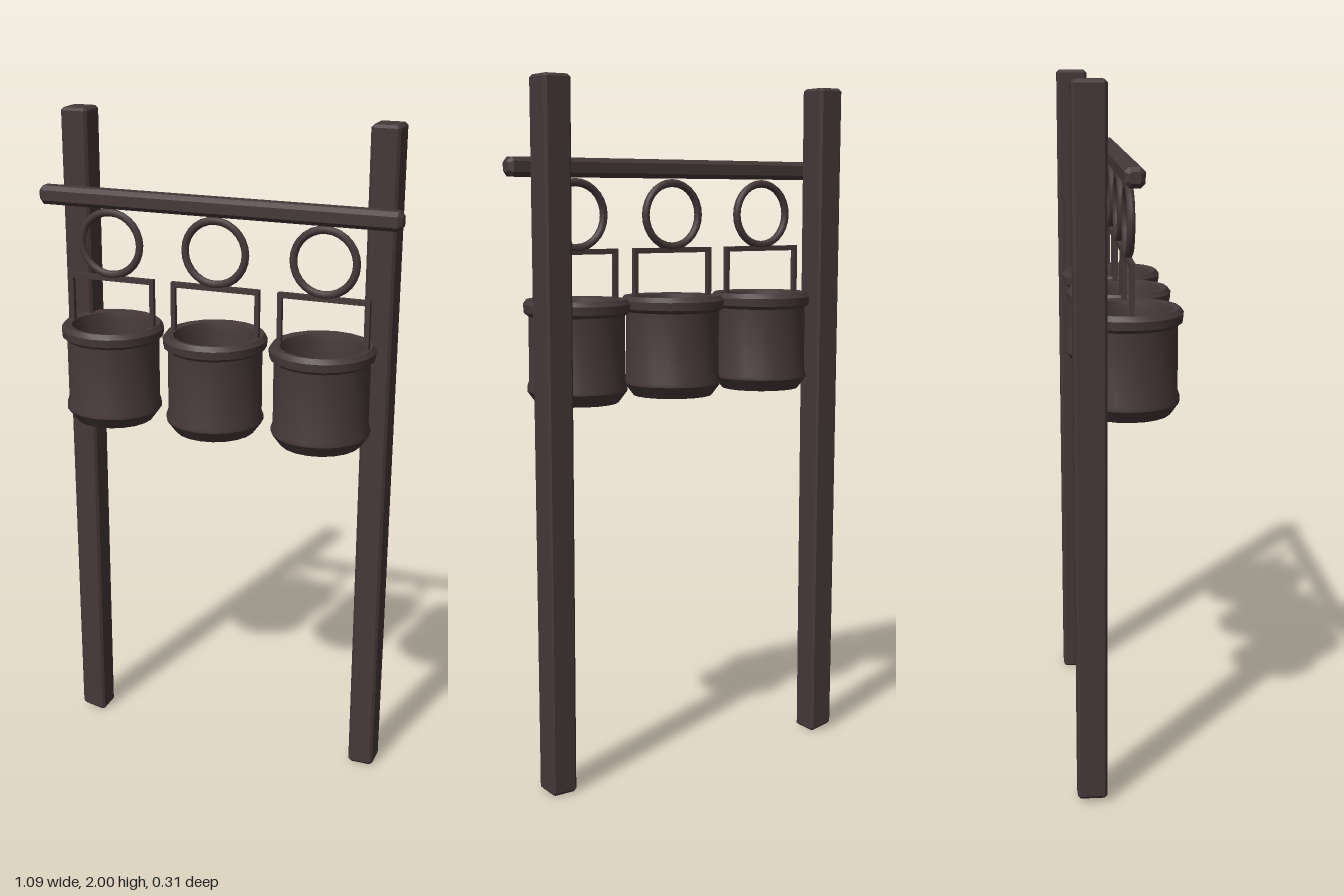
import * as THREE from 'three';
import { toCreasedNormals } from 'three/addons/utils/BufferGeometryUtils.js';

const wood = new THREE.MeshStandardMaterial({ color: 0x463839 });
wood.name = 'dark brown';

function add(parent, name, geometry, x = 0, y = 0, z = 0) {
  const mesh = new THREE.Mesh(geometry, wood);
  mesh.name = name;
  mesh.position.set(x, y, z);
  parent.add(mesh);
  return mesh;
}

// Square bar along z, centred, with chamfered edges and ends
function bar(w, h, length, c) {
  const a = w / 2 - c, b = h / 2 - c;
  const shape = new THREE.Shape([
    [a, -b - c], [a + c, -b], [a + c, b], [a, b + c],
    [-a, b + c], [-a - c, b], [-a - c, -b], [-a, -b - c],
  ].map(([x, y]) => new THREE.Vector2(x, y)));
  const geometry = new THREE.ExtrudeGeometry(shape, {
    depth: length - 2 * c, bevelEnabled: true, bevelThickness: c,
    bevelSize: c, bevelOffset: -c, bevelSegments: 1,
  });
  return geometry.translate(0, 0, c - length / 2);
}

// Upright post, slightly uneven towards its foot
function post(side) {
  const geometry = bar(0.083, 0.092, 2, 0.008).rotateX(-Math.PI / 2).translate(0, 1, 0);
  const p = geometry.attributes.position;
  for (let i = 0; i < p.count; i++) {
    const foot = 1 - p.getY(i) / 2;
    p.setX(i, p.getX(i) * (1 - 0.06 * foot));
    p.setZ(i, p.getZ(i) * (1 - 0.1 * foot));
    if (side < 0 && p.getY(i) < 0.1) p.setY(i, p.getY(i) + 0.008 - p.getX(i) * 0.2);
  }
  geometry.computeVertexNormals();
  return geometry;
}

// Hollow pot: chamfered base, straight wall, flared rim, inner wall and floor
function pot() {
  const profile = [
    [0, 1.097], [0.118, 1.097], [0.144, 1.132], [0.144, 1.142], [0.138, 1.16],
    [0.138, 1.345], [0.151, 1.355], [0.153, 1.378], [0.143, 1.392],
    [0.122, 1.388], [0.118, 1.365], [0.111, 1.14], [0, 1.14],
  ].map(([r, y]) => new THREE.Vector2(r, y));
  return toCreasedNormals(new THREE.LatheGeometry(profile, 20), 0.5);
}

export function createModel() {
  const model = new THREE.Group();
  model.name = 'potRack';

  // Frame
  add(model, 'rightPost', post(-1), -0.468, 0, -0.112);
  add(model, 'leftPost', post(1), 0.465, 0, -0.112);
  add(model, 'crossbeam', bar(0.054, 0.054, 1.088, 0.012).rotateY(Math.PI / 2), 0, 1.759, 0);

  // Three hanging pots, each with a ring and a square handle
  const potGeometry = pot();
  const ringGeometry = new THREE.TorusGeometry(0.092, 0.0115, 8, 28);
  const handleTop = new THREE.BoxGeometry(0.27, 0.015, 0.015);
  const handleLeg = new THREE.BoxGeometry(0.013, 0.155, 0.015);
  for (const x of [-0.326, 0, 0.326]) {
    const unit = new THREE.Group();
    unit.name = 'hangingPot';
    unit.position.x = x;
    add(unit, 'ring', ringGeometry, 0, 1.627, 0);
    add(unit, 'handleTop', handleTop, 0, 1.524, 0);
    for (const side of [-1, 1]) {
      add(unit, 'handleLeg', handleLeg, side * 0.129, 1.453, 0);
    }
    add(unit, 'pot', potGeometry);
    model.add(unit);
  }
  return model;
}
